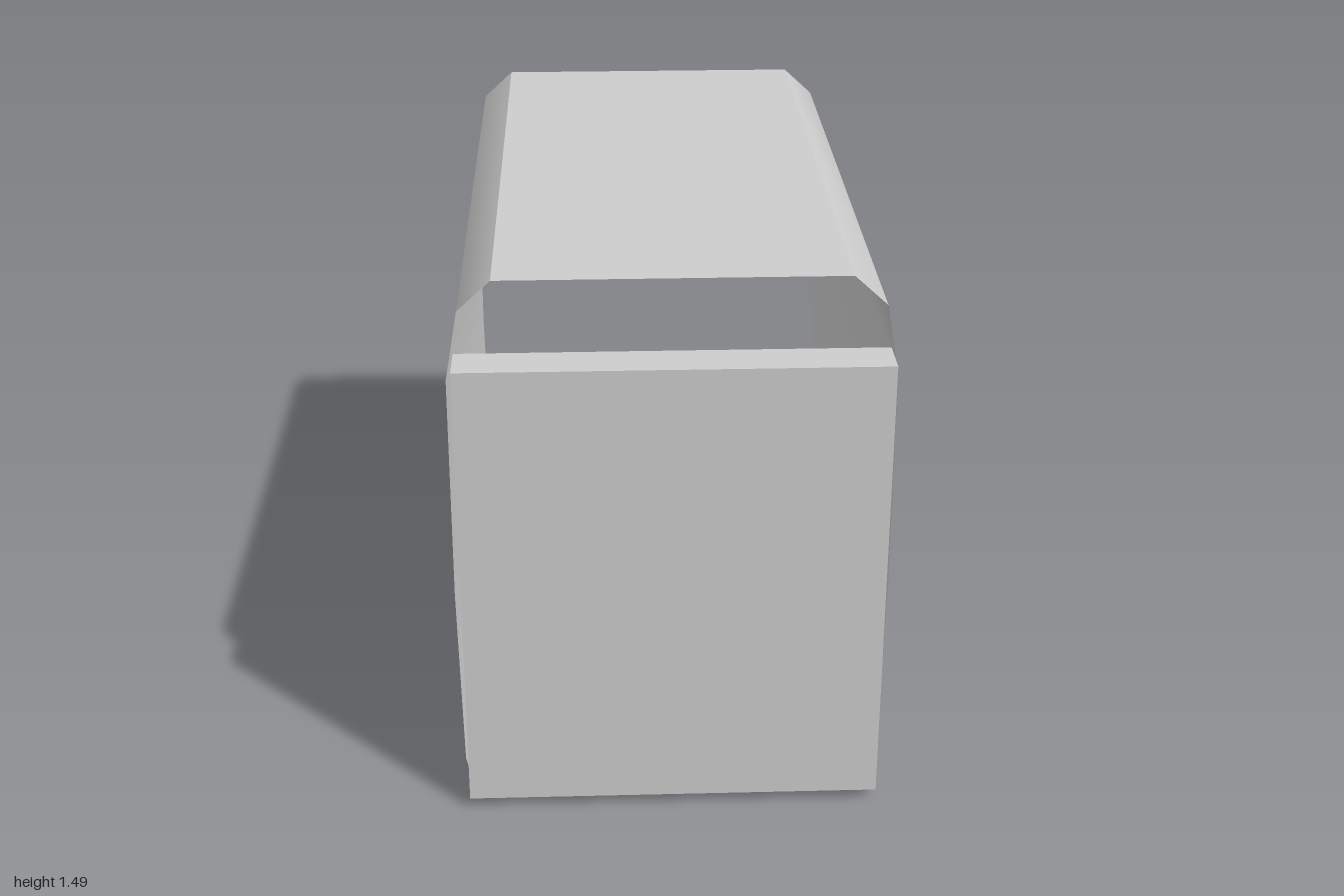
import * as THREE from 'three';
import { toCreasedNormals } from 'three/addons/utils/BufferGeometryUtils.js';

const BACK = -1, SEAM = 0.88, FRONT = 1;

// Open sleeve swept along z from a closed cross-section, with no end caps
function sleeveGeometry(profile, z0, z1) {
  const positions = [];
  profile.forEach(([ax, ay], i) => {
    const [bx, by] = profile[(i + 1) % profile.length];
    positions.push(
      ax, ay, z1, ax, ay, z0, bx, by, z0,
      ax, ay, z1, bx, by, z0, bx, by, z1
    );
  });
  const geometry = new THREE.BufferGeometry();
  geometry.setAttribute('position', new THREE.Float32BufferAttribute(positions, 3));
  return toCreasedNormals(geometry, 0.7);
}

export function createModel() {
  const group = new THREE.Group();
  group.name = 'sleeveWithFrontPanel';

  const grey = new THREE.MeshStandardMaterial({ color: 0xcccccc, side: THREE.DoubleSide });
  grey.name = 'light grey';

  // Thin-walled sleeve: right half from floor to roof, then mirrored
  const half = [[0.55, 0], [0.568, 0.08], [0.577, 0.6], [0.574, 1.22], [0.54, 1.41], [0.453, 1.49]];
  const mirrored = half.map(([x, y]) => [-x, y]).reverse();
  const sleeve = new THREE.Mesh(sleeveGeometry([...half, ...mirrored], BACK, SEAM), grey);
  sleeve.name = 'sleeve';
  group.add(sleeve);

  // Slab standing against the front opening
  const bottom = 0.03, top = 1.295;
  const panel = new THREE.Mesh(new THREE.BoxGeometry(1.106, top - bottom, FRONT - SEAM), grey);
  panel.name = 'frontPanel';
  panel.position.set(0, (top + bottom) / 2, (FRONT + SEAM) / 2);
  group.add(panel);

  return group;
}
